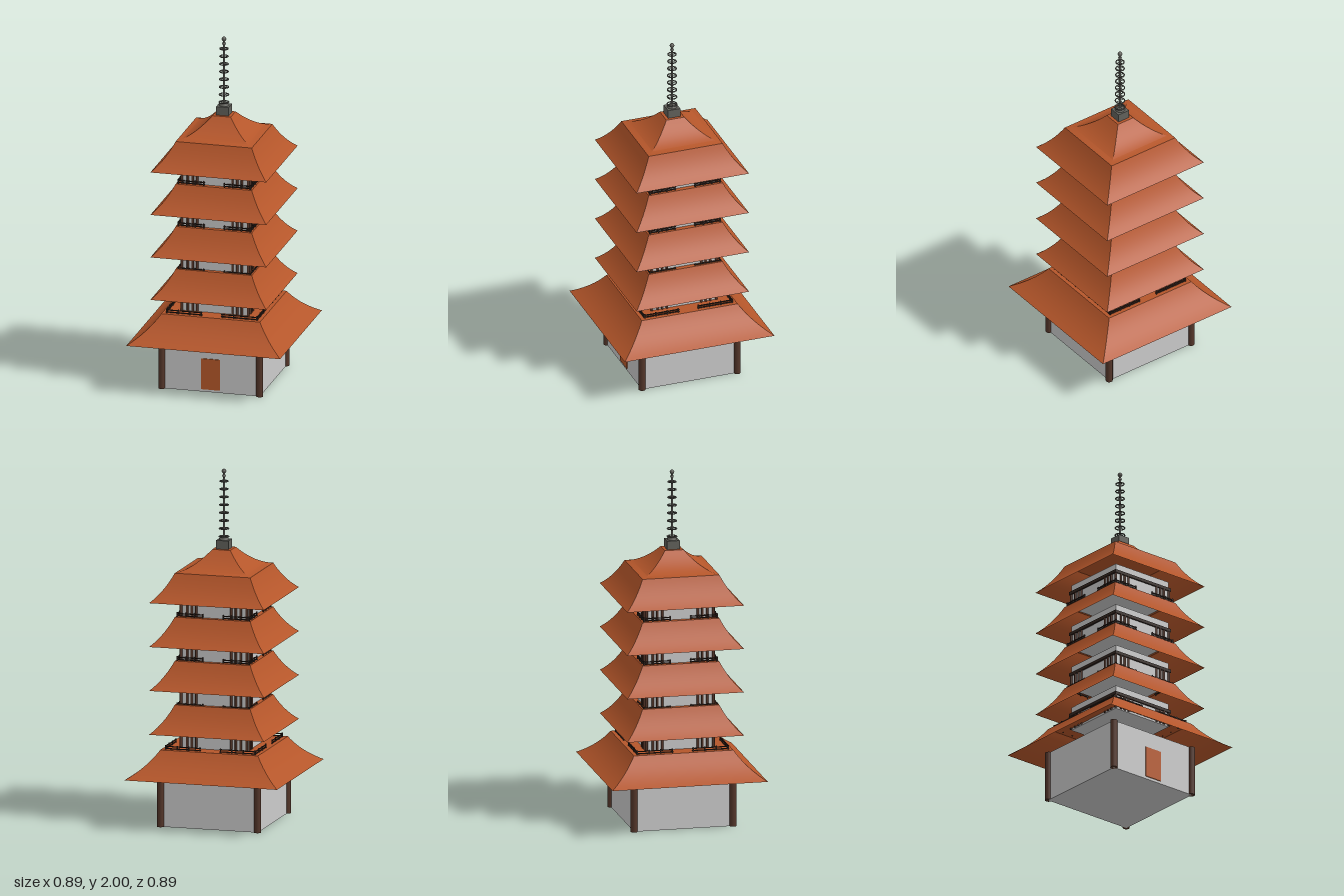
import * as THREE from 'three';
import { toCreasedNormals } from 'three/addons/utils/BufferGeometryUtils.js';

const mat = (color, side = THREE.FrontSide) => new THREE.MeshStandardMaterial({ color, side });
const plaster = mat(0xcccccc);
const tile = mat(0xb5562a, THREE.DoubleSide);
const doorWood = mat(0xb85a2a);
const wood = mat(0x54362a);
const darkWood = mat(0x33251f);
const metal = mat(0x62625c);

function add(parent, name, geometry, material, x = 0, y = 0, z = 0) {
  const mesh = new THREE.Mesh(geometry, material);
  mesh.name = name;
  mesh.position.set(x, y, z);
  parent.add(mesh);
  return mesh;
}

// box given by its bottom height
const box = (parent, name, w, h, d, material, x, y, z) =>
  add(parent, name, new THREE.BoxGeometry(w, h, d), material, x, y + h / 2, z);

const post = (parent, name, r, h, material, x, y, z) =>
  add(parent, name, new THREE.CylinderGeometry(r, r, h, 12), material, x, y + h / 2, z);

// square hollow roof with a curved slope and a flat top; points are [half width, height]
function roof(parent, name, from, bend, to) {
  const curve = new THREE.QuadraticBezierCurve(
    new THREE.Vector2(...from), new THREE.Vector2(...bend), new THREE.Vector2(...to));
  const profile = [...curve.getPoints(10), new THREE.Vector2(0, to[1])];
  profile.forEach((p) => { p.x *= Math.SQRT2; });
  const geometry = new THREE.LatheGeometry(profile, 4, Math.PI / 4);
  add(parent, name, toCreasedNormals(geometry, 0.5), tile);
}

// one upper storey: walls, beams, wall posts and split railings on four sides
function storey(parent, index, y, railHalf, railY) {
  const group = new THREE.Group();
  group.name = 'storey' + index;
  group.position.y = y;
  parent.add(group);
  box(group, 'wall', 0.385, 0.14, 0.385, plaster, 0, -0.01, 0);
  for (let side = 0; side < 4; side++) {
    const face = new THREE.Group();
    face.name = 'storeySide';
    face.rotation.y = side * Math.PI / 2;
    group.add(face);
    box(face, 'beam', 0.404, 0.018, 0.016, darkWood, 0, 0.073, 0.194);
    post(face, 'cornerPost', 0.008, 0.085, wood, 0.192, -0.005, 0.192);
    for (const s of [-1, 1]) {
      for (const x of [0.102, 0.129, 0.156]) {
        post(face, 'wallPost', 0.007, 0.085, wood, s * x, -0.005, 0.194);
      }
      const length = railHalf - 0.055;
      const mid = s * (railHalf + 0.055) / 2;
      for (const h of [0.005, 0.017]) {
        box(face, 'rail', length, 0.005, 0.006, darkWood, mid, railY + h, railHalf);
      }
      for (let i = 0; i < 4; i++) {
        box(face, 'railPost', 0.006, 0.026, 0.006, darkWood,
          s * (0.06 + (length - 0.008) * i / 3), railY, railHalf);
      }
    }
  }
}

export function createModel() {
  const pagoda = new THREE.Group();
  pagoda.name = 'pagoda';

  // ground floor
  box(pagoda, 'groundWall', 0.57, 0.29, 0.57, plaster, 0, 0, 0);
  for (const x of [-1, 1]) {
    for (const z of [-1, 1]) post(pagoda, 'groundPost', 0.02, 0.29, wood, x * 0.283, 0, z * 0.283);
  }
  box(pagoda, 'door', 0.11, 0.18, 0.02, doorWood, 0, 0.015, 0.28);
  roof(pagoda, 'groundRoof', [0.445, 0.285], [0.345, 0.345], [0.285, 0.437]);

  // four upper storeys with their roofs
  for (let i = 0; i < 4; i++) {
    const y = 0.435 + i * 0.25;
    storey(pagoda, i + 1, y, i === 0 ? 0.262 : 0.21, i === 1 ? -0.015 : 0);
    roof(pagoda, 'upperRoof', [0.335, y + 0.095], [0.268, y + 0.15], [0.22, y + 0.25]);
  }

  // top roof cap
  roof(pagoda, 'topRoof', [0.22, 1.434], [0.135, 1.45], [0.053, 1.548]);

  // finial
  const finial = new THREE.Group();
  finial.name = 'finial';
  pagoda.add(finial);
  box(finial, 'finialBase', 0.072, 0.05, 0.072, metal, 0, 1.547, 0);
  add(finial, 'finialDome', new THREE.SphereGeometry(0.028, 20, 8, 0, Math.PI * 2, 0, Math.PI / 2),
    metal, 0, 1.597, 0).scale.y = 0.7;
  post(finial, 'mast', 0.007, 0.385, metal, 0, 1.595, 0);
  for (let i = 0; i < 8; i++) {
    const y = 1.615 + i * 0.045;
    const radius = 0.027 - i * 0.0006;
    add(finial, 'ring', new THREE.TorusGeometry(radius, 0.0035, 8, 24), metal, 0, y, 0)
      .rotation.x = Math.PI / 2;
    for (const turn of [0, Math.PI / 2]) {
      box(finial, 'ringSpoke', radius * 2, 0.003, 0.003, metal, 0, y - 0.0015, 0).rotation.y = turn;
    }
  }
  add(finial, 'lowerBall', new THREE.SphereGeometry(0.01, 16, 12), metal, 0, 1.96, 0);
  add(finial, 'topBall', new THREE.SphereGeometry(0.013, 16, 12), metal, 0, 1.987, 0);

  return pagoda;
}
